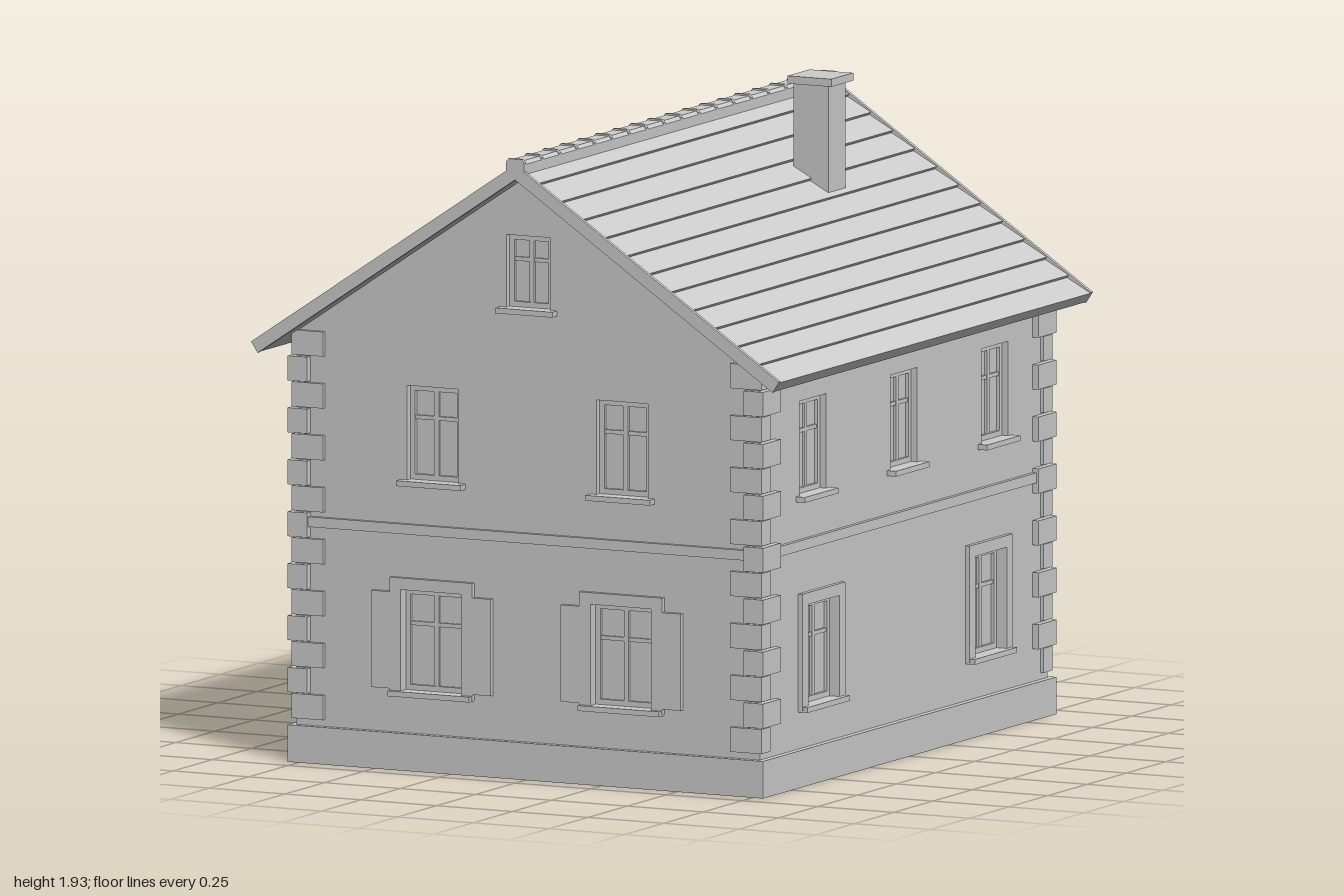
import * as THREE from 'three';

const stone = new THREE.MeshStandardMaterial({ color: 0xcccccc });
stone.name = 'light grey';

const HX = 0.765, HZ = 0.915, WALL = 0.05;   // half width, half depth, wall thickness
const RIDGE = 1.83, SLOPE = 0.671;

function add(parent, name, geometry) {
  const mesh = new THREE.Mesh(geometry, stone);
  mesh.name = name;
  parent.add(mesh);
  return mesh;
}

// Box given by its limits on each axis
function block(parent, name, x0, x1, y0, y1, z0, z1) {
  const mesh = add(parent, name, new THREE.BoxGeometry(x1 - x0, y1 - y0, z1 - z0));
  mesh.position.set((x0 + x1) / 2, (y0 + y1) / 2, (z0 + z1) / 2);
  return mesh;
}

const rect = (x0, x1, y0, y1) => [[x0, y0], [x1, y0], [x1, y1], [x0, y1]];
const toPoints = (list) => list.map(([x, y]) => new THREE.Vector2(x, y));

// Plate with holes, between z0 and z1
function plate(parent, name, outline, holes, z0, z1) {
  const shape = new THREE.Shape(toPoints(outline));
  for (const h of holes) shape.holes.push(new THREE.Path(toPoints(h)));
  const geo = new THREE.ExtrudeGeometry(shape, { depth: z1 - z0, bevelEnabled: false });
  geo.translate(0, 0, z0);
  return add(parent, name, geo);
}

// Opening sizes; style selects the trim around it
const upper = (x) => ({ x, w: 0.17, y0: 0.86, y1: 1.14, style: 'plain' });
const framed = (x) => ({ x, w: 0.2, y0: 0.235, y1: 0.535, style: 'framed' });
const eared = (x) => ({ x, w: 0.2, y0: 0.235, y1: 0.535, style: 'eared' });
const attic = { x: 0, w: 0.145, y0: 1.395, y1: 1.61, style: 'plain' };

const opening = (o) => rect(o.x - o.w / 2, o.x + o.w / 2, o.y0, o.y1);

function addWindow(parent, o) {
  const g = new THREE.Group();
  g.name = 'window';
  g.position.x = o.x;
  parent.add(g);
  const h = o.w / 2, f = 0.016, { y0, y1 } = o;
  // Sash, glazing bars and pane
  plate(g, 'sash', rect(-h, h, y0, y1), [rect(-h + f, h - f, y0 + f, y1 - f)], -0.04, -0.02);
  block(g, 'mullion', -0.008, 0.008, y0 + f, y1 - f, -0.038, -0.022);
  const t = y0 + (y1 - y0) * 0.66;
  block(g, 'transom', -h + f, h - f, t - 0.006, t + 0.006, -0.037, -0.023);
  block(g, 'pane', -h + f, h - f, y0 + f, y1 - f, -0.034, -0.03);
  // Sill and surround
  const s = o.style === 'plain' ? h + 0.022 : h + 0.035;
  block(g, 'sill', -s, s, y0 - 0.016, y0, -0.02, 0.03);
  if (o.style === 'plain') return;
  const a = 0.137, e = 0.198, lo = y0 - 0.012, hi = y1 + 0.035;
  const outline = o.style === 'framed' ? rect(-a, a, lo, hi) : [
    [-a, lo], [a, lo], [a, y0 + 0.005], [e, y0 + 0.005], [e, y1 - 0.008], [a, y1 - 0.008],
    [a, hi], [-a, hi], [-a, y1 - 0.008], [-e, y1 - 0.008], [-e, y0 + 0.005], [-a, y0 + 0.005]];
  plate(g, 'surround', outline, [rect(-h, h, y0, y1)], 0, 0.014);
}

// One side of the house, built facing +z with its outer face at z = 0
function addFacade(house, name, outline, half, windows, angle, distance) {
  const g = new THREE.Group();
  g.name = name;
  g.rotation.y = angle;
  g.position.set(Math.sin(angle) * distance, 0, Math.cos(angle) * distance);
  house.add(g);
  plate(g, 'wall', outline, windows.map(opening), -WALL, 0);
  block(g, 'stringCourse', -half - 0.012, half + 0.012, 0.7, 0.73, -0.02, 0.013);
  windows.forEach((o) => addWindow(g, o));
  return g;
}

function addDoor(g) {
  const door = new THREE.Group();
  door.name = 'door';
  g.add(door);
  const w = 0.13, y0 = 0.05, y1 = 0.55;
  plate(door, 'doorSurround', [[-0.16, y0], [-w, y0], [-w, y1], [w, y1], [w, y0], [0.16, y0],
    [0.16, 0.585], [-0.16, 0.585]], [], 0, 0.022);
  // Two glazed leaves
  for (const s of [-1, 1]) {
    const c = s * w / 2, h = w / 2;
    plate(door, 'doorLeaf', rect(c - h, c + h, y0, y1),
      [rect(c - h + 0.022, c + h - 0.022, 0.2, 0.4), rect(c - h + 0.022, c + h - 0.022, 0.425, y1 - 0.025)],
      -0.04, -0.018);
    block(door, 'doorPane', c - h + 0.01, c + h - 0.01, 0.19, y1 - 0.01, -0.033, -0.028);
    block(door, 'doorPanel', c - h + 0.025, c + h - 0.025, 0.08, 0.175, -0.02, -0.012);
  }
  block(door, 'doorHandle', 0.008, 0.02, 0.28, 0.31, -0.02, 0);
  block(g, 'letterBox', 0.19, 0.26, 0.35, 0.41, 0, 0.03);
}

function addRoof(house) {
  const roof = new THREE.Group();
  roof.name = 'roof';
  house.add(roof);
  const len = Math.hypot(1, SLOPE), nx = SLOPE / len, ny = 1 / len;
  const at = (x, off) => [x + nx * off, RIDGE - SLOPE * x + ny * off];
  // Lapped rows as a stepped slope
  const rows = 12, lap = 0.009, edge = 0.87, side = [];
  for (let i = 0; i < rows; i++) {
    side.push(i === 0 ? [0, RIDGE - lap] : at(edge * i / rows, -lap));
    side.push(at(edge * (i + 1) / rows, 0));
  }
  const tip = at(edge, -0.034);
  const mirror = (list) => list.map(([x, y]) => [-x, y]).reverse();
  const half = [...side, tip];
  plate(roof, 'roofTiles', [[0, 1.79], ...mirror(half.slice(1)), ...half], [], -0.99, 0.99);
  // Verge boards at both gables
  const trim = [at(edge, 0.003), at(edge, -0.036)];
  for (const z of [-1, 0.988]) {
    plate(roof, 'vergeBoard', [[0, 1.788], ...mirror(trim), [0, RIDGE + 0.003], ...trim], [], z, z + 0.012);
  }
  // Ridge tiles, each lapping the next
  const n = 18, step = 2 / n;
  for (let i = 0; i < n; i++) {
    const z = -1 + i * step;
    const cap = (k) => [[-0.03, 1.805], [0.03, 1.805], [0.03, 1.835 + k], [0.022, 1.845 + k], [-0.022, 1.845 + k], [-0.03, 1.835 + k]];
    plate(roof, 'ridgeTile', cap(0), [], z, z + step - 0.012);
    plate(roof, 'ridgeTileLip', cap(0.005), [], z + step - 0.012, z + step);
  }
}

export function createModel() {
  const house = new THREE.Group();
  house.name = 'house';

  // Plinth ring, left open at the doorway
  const px = 0.785, pz = 0.935, ix = HX - WALL, iz = HZ - WALL, d = 0.13;
  const plinth = plate(house, 'plinth', [[-px, d], [-px, pz], [px, pz], [px, -pz], [-px, -pz], [-px, -d],
    [-ix, -d], [-ix, -iz], [ix, -iz], [ix, iz], [-ix, iz], [-ix, d]], [], 0, 0.11);
  plinth.rotation.x = -Math.PI / 2;

  // Four walls
  const eave = 1.80 - SLOPE * HX, sz = HZ - WALL, top = 1.275;
  const gable = [[-HX, 0.11], [HX, 0.11], [HX, eave], [0, 1.8], [-HX, eave]];
  const lowered = [[-sz, 0.11], [-d, 0.11], [-d, 0.55], [d, 0.55], [d, 0.11], [sz, 0.11], [sz, top], [-sz, top]];
  addFacade(house, 'frontSide', gable, HX,
    [eared(-0.315), eared(0.312), upper(-0.315), upper(0.31), attic], 0, HZ);
  addFacade(house, 'backSide', gable, HX, [framed(-0.31), framed(0.31)], Math.PI, HZ);
  const row = [upper(-0.58), upper(0), upper(0.58)];
  addFacade(house, 'rightWallSide', rect(-sz, sz, 0.11, top), HZ,
    [framed(-0.535), framed(0.53), ...row], Math.PI / 2, HX);
  const doorSide = addFacade(house, 'doorSide', lowered, HZ,
    [eared(-0.52), eared(0.52), ...row], -Math.PI / 2, HX);
  addDoor(doorSide);
  block(house, 'doorStep', -0.88, -ix, 0.015, 0.05, -0.18, 0.18);

  // Corner stones, alternating long on the gable and long on the side
  for (const sx of [-1, 1]) for (const s of [-1, 1]) for (let k = 0; k < 15; k++) {
    const y = 0.13 + k * 0.077;
    const [x0, x1, z0, z1] = k % 2 ? [0.72, 0.785, 0.82, 0.935] : [0.672, 0.776, 0.87, 0.928];
    const q = block(house, 'cornerStone', x0, x1, y, y + 0.073, z0, z1);
    q.position.x *= sx;
    q.position.z *= s;
  }

  addRoof(house);

  // Chimney
  block(house, 'chimneyShaft', 0.23, 0.345, 1.59, 1.912, -0.44, -0.33);
  block(house, 'chimneyCap', 0.215, 0.36, 1.912, 1.935, -0.46, -0.32);
  return house;
}
